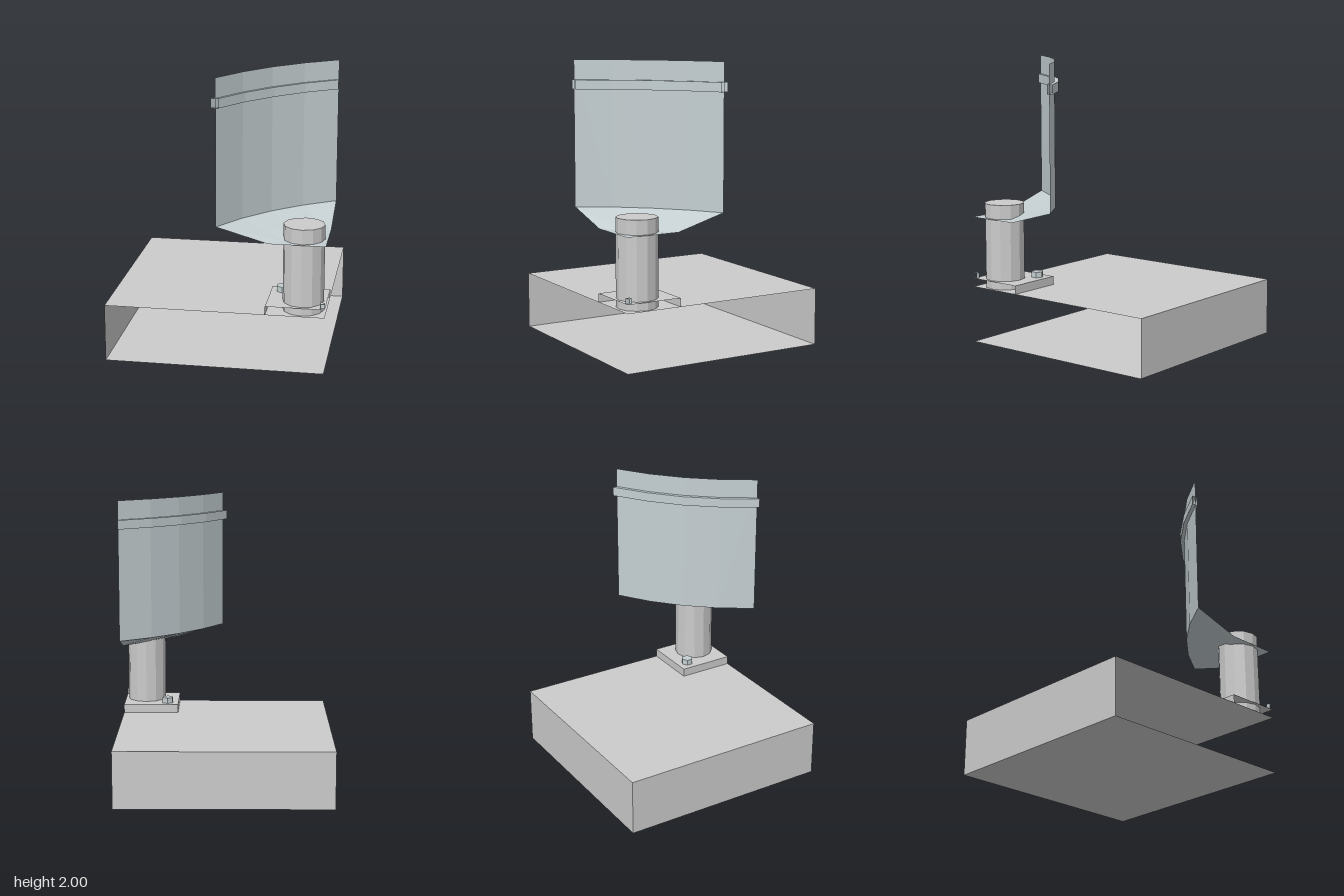
import * as THREE from 'three';

const grey = new THREE.MeshStandardMaterial({ color: 0xcccccc, flatShading: true, side: THREE.DoubleSide });
const steel = new THREE.MeshStandardMaterial({ color: 0xc5cfd2, flatShading: true, side: THREE.DoubleSide });

// Plan outlines [x, z], swept from the +x edge to the +z edge
const shellArc = [[0.75, 0.02], [0.53, 0.165], [0.335, 0.335], [0.165, 0.53], [0.02, 0.75]];
const bandOuter = [[0.75, -0.01], [0.52, 0.14], [0.315, 0.315], [0.14, 0.52], [-0.01, 0.75]];
const bandInner = [[0.75, 0.04], [0.54, 0.18], [0.35, 0.35], [0.18, 0.54], [0.04, 0.75]];
const floorEdge = [0, 1, 2, 3, 4].map(i => [0.75 - 0.095 * i, 0.37 + 0.095 * i]);
const corner = floorEdge.map(() => [0.75, 0.75]);

const at = (outline, y) => outline.map(([x, z]) => [x, y, z]);

// Joins successive rows of points with quads
function loft(rows) {
  const pos = [];
  for (let r = 0; r < rows.length - 1; r++) {
    const a = rows[r], b = rows[r + 1];
    for (let i = 0; i < a.length - 1; i++) {
      pos.push(...a[i], ...a[i + 1], ...b[i + 1], ...a[i], ...b[i + 1], ...b[i]);
    }
  }
  const geo = new THREE.BufferGeometry();
  geo.setAttribute('position', new THREE.Float32BufferAttribute(pos, 3));
  geo.computeVertexNormals();
  return geo;
}

// Block cut away on its +x and +z sides, where it meets the section planes
function cutBlock(min, y0, y1, withBottom) {
  const max = 0.75;
  const wall = [[max, min], [min, min], [min, max]];
  const lid = [[max, max], [max, max], [max, max]];
  const rows = [at(wall, y0), at(wall, y1), at(lid, y1)];
  if (withBottom) rows.unshift(at(lid, y0));
  return loft(rows);
}

export function createModel() {
  const model = new THREE.Group();
  const add = (name, geo, mat, x = 0, y = 0, z = 0) => {
    const mesh = new THREE.Mesh(geo, mat);
    mesh.name = name;
    mesh.position.set(x, y, z);
    model.add(mesh);
  };

  // Foundation and footing plate
  add('foundation', cutBlock(-0.75, 0, 0.4, true), grey);
  add('basePlate', cutBlock(0.35, 0.4, 0.46, false), grey);

  // Support column
  add('column', new THREE.CylinderGeometry(0.14, 0.14, 0.6, 12), grey, 0.59, 0.7, 0.59);

  // Anchor bolts, the outer one cut by the section planes
  add('innerBolt', new THREE.CylinderGeometry(0.043, 0.043, 0.04, 6), steel, 0.43, 0.48, 0.43);
  add('outerBolt', cutBlock(0.72, 0.46, 0.5, false), steel);

  // Tank wall, sloping bottom with flat floor, and stiffening band
  add('tankWall', loft([at(shellArc, 1), at(shellArc, 2)]), steel);
  add('tankBottom', loft([at(corner, 0.9), at(floorEdge, 0.9), at(shellArc, 1)]), steel);
  add('tankBand', loft([
    at(bandOuter, 1.8), at(bandOuter, 1.865), at(bandInner, 1.865), at(bandInner, 1.8), at(bandOuter, 1.8),
  ]), steel);

  return model;
}
